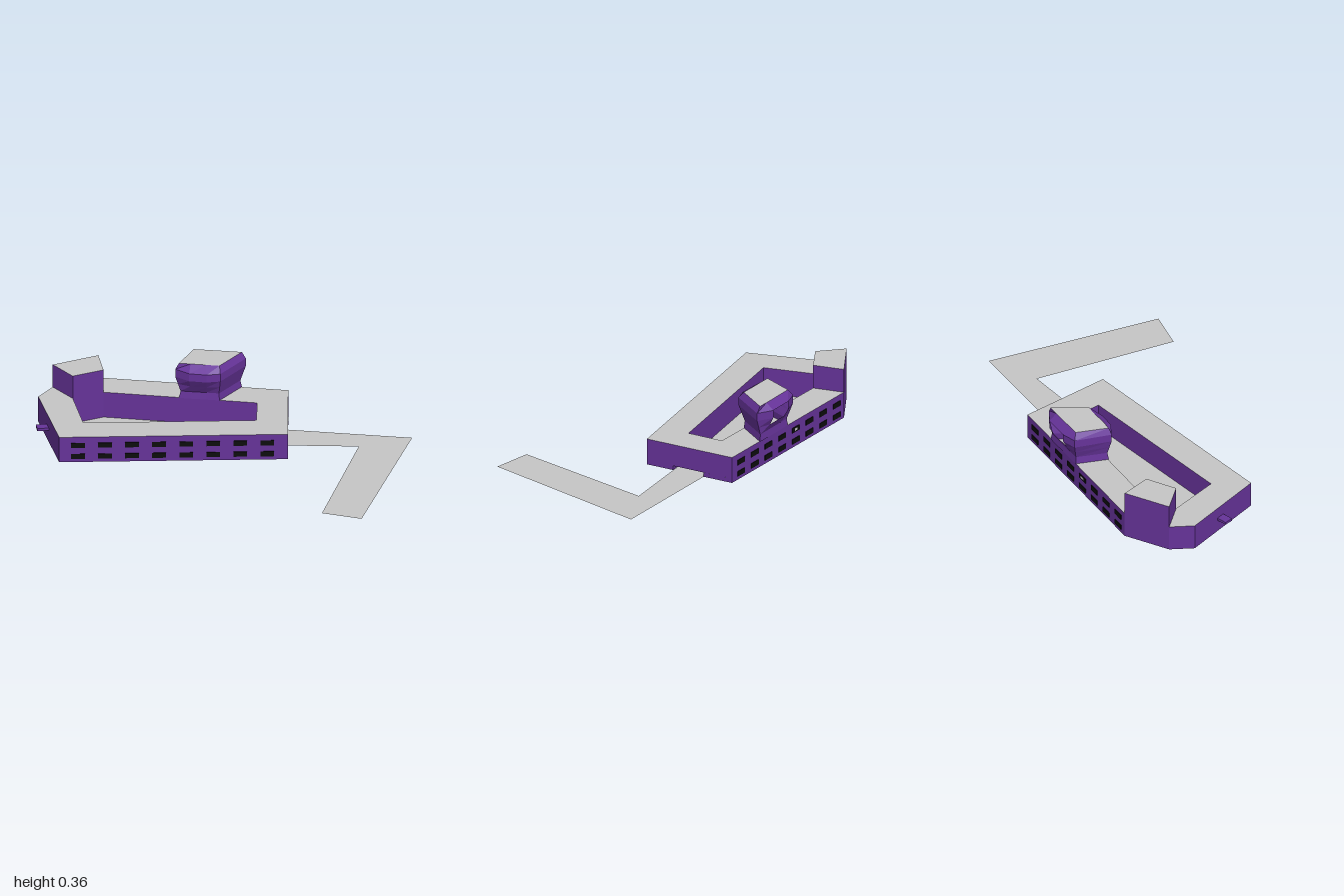
import * as THREE from 'three';

const wallMat = new THREE.MeshStandardMaterial({ color: 0x663399 });
wallMat.name = 'purpleWall';
wallMat.flatShading = true;
const roofMat = new THREE.MeshStandardMaterial({ color: 0xc6c6c6, side: THREE.DoubleSide });
roofMat.name = 'greyRoof';
const glassMat = new THREE.MeshStandardMaterial({ color: 0x0c0c0c });
glassMat.name = 'blackWindow';
const shellMat = new THREE.MeshStandardMaterial({ color: 0x663399, side: THREE.DoubleSide });
shellMat.name = 'purpleShell';
shellMat.flatShading = true;

// Plan outlines as [x, z]
const outer = [[0.3, 0.03], [-0.92, -0.13], [-0.955, -0.62], [-0.86, -0.72], [-0.6, -0.79], [0.385, -0.48]];
const court = [[0.195, -0.36], [-0.6, -0.615], [-0.775, -0.57], [-0.765, -0.28], [0.16, -0.16]];

const toVec = pts => pts.map(([x, z]) => new THREE.Vector2(x, -z));

function planShape(pts, hole) {
  const shape = new THREE.Shape(toVec(pts));
  if (hole) shape.holes.push(new THREE.Path(toVec(hole)));
  return shape;
}

function add(group, name, geometry, material) {
  const mesh = new THREE.Mesh(geometry, material);
  mesh.name = name;
  group.add(mesh);
  return mesh;
}

// Upright prism: purple sides and underside, grey top
function prism(shape, y0, y1) {
  const geo = new THREE.ExtrudeGeometry(shape, { depth: y1 - y0, bevelEnabled: false });
  const [caps, sides] = geo.groups.map(g => ({ ...g }));
  geo.clearGroups();
  geo.addGroup(caps.start, caps.count / 2, 0);
  geo.addGroup(caps.start + caps.count / 2, caps.count / 2, 1);
  geo.addGroup(sides.start, sides.count, 0);
  return geo.rotateX(-Math.PI / 2).translate(0, y0, 0);
}

// Flat horizontal sheet
function sheet(pts, y) {
  return new THREE.ShapeGeometry(planShape(pts)).rotateX(-Math.PI / 2).translate(0, y, 0);
}

// Thin plate lying on the wall that runs from a to b
function plate(group, name, a, b, t, y, w, h, depth, material) {
  const dx = b[0] - a[0], dz = b[1] - a[1];
  const mesh = add(group, name, new THREE.BoxGeometry(w, h, depth), material);
  mesh.position.set(a[0] + dx * t, y, a[1] + dz * t);
  mesh.rotation.y = -Math.atan2(dz, dx);
}

function windowRows(group, name, a, b, t0, step, w) {
  for (let i = 0; i < 8; i++) {
    for (const y of [0.035, 0.101]) plate(group, name, a, b, t0 + step * i, y, w, 0.029, 0.008, glassMat);
  }
}

// Lookout tower: eight-point rings stacked from base to roof
function buildLookout(group) {
  const slim = [[-0.21, -0.485], [-0.15, -0.466], [-0.07, -0.442], [0, -0.42],
    [0.145, -0.56], [0.088, -0.578], [-0.04, -0.616], [-0.105, -0.635]];
  const wide = [[-0.23, -0.485], [-0.165, -0.42], [-0.075, -0.39], [0, -0.39],
    [0.165, -0.55], [0.1, -0.62], [-0.035, -0.66], [-0.12, -0.66]];
  const neck = slim.map(([x, z]) => [-0.03 + (x + 0.03) * 0.95, -0.53 + (z + 0.53) * 0.95]);
  const middle = neck.map((p, i) => [(p[0] + wide[i][0]) / 2, (p[1] + wide[i][1]) / 2]);
  const rings = [[0.15, slim], [0.19, neck], [0.235, middle], [0.28, wide], [0.325, wide], [0.36, slim]];
  const pos = [];
  for (let r = 0; r < rings.length - 1; r++) {
    const [y0, lo] = rings[r], [y1, hi] = rings[r + 1];
    for (let i = 0; i < 8; i++) {
      // open lookout in the middle of the back
      if (i === 5 && (r === 2 || r === 3)) continue;
      const j = (i + 1) % 8;
      const a = [lo[i][0], y0, lo[i][1]], b = [lo[j][0], y0, lo[j][1]];
      const c = [hi[j][0], y1, hi[j][1]], d = [hi[i][0], y1, hi[i][1]];
      pos.push(...a, ...b, ...c, ...a, ...c, ...d);
    }
  }
  const geo = new THREE.BufferGeometry();
  geo.setAttribute('position', new THREE.Float32BufferAttribute(pos, 3));
  geo.computeVertexNormals();
  add(group, 'lookoutWalls', geo, shellMat);
  add(group, 'lookoutRoof', sheet(slim, 0.36), roofMat);
}

export function createModel() {
  const model = new THREE.Group();
  model.name = 'courtyardBuilding';
  const mats = [wallMat, roofMat];

  // Lower storey, broken by the low passage in the east wing
  const lower = [[0.326, -0.127], ...outer, [0.357, -0.31], ...court];
  add(model, 'lowerWalls', prism(planShape(lower), 0, 0.025), mats);
  // Full ring above the passage
  add(model, 'upperWalls', prism(planShape(outer, court), 0.025, 0.15), mats);

  // Courtyard floor running out through the passage as a bent path
  const path = [[0.7, -0.055], [0.38, 0.685], [0.58, 0.785], [1, -0.11]];
  add(model, 'courtyardAndPath', sheet([...court, ...path], 0), roofMat);

  // Corner block on the back wing
  const block = [[-0.86, -0.72], [-0.6, -0.79], [-0.6, -0.615], [-0.775, -0.57]];
  add(model, 'cornerBlock', prism(planShape(block), 0.15, 0.285), mats);

  const lookout = new THREE.Group();
  lookout.name = 'lookoutTower';
  buildLookout(lookout);
  model.add(lookout);

  // Windows on the front and back walls
  windowRows(model, 'frontWindow', outer[1], outer[0], 0.082, 0.1183, 0.074);
  windowRows(model, 'backWindow', outer[5], outer[4], 0.08, 0.122, 0.066);
  plate(model, 'litPane', outer[5], outer[4], 0.08 + 0.122 * 4, 0.101, 0.026, 0.014, 0.0095, roofMat);

  // Small canopy on the west wall
  add(model, 'canopy', new THREE.BoxGeometry(0.07, 0.015, 0.05), wallMat).position.set(-0.965, 0.078, -0.397);

  return model;
}
